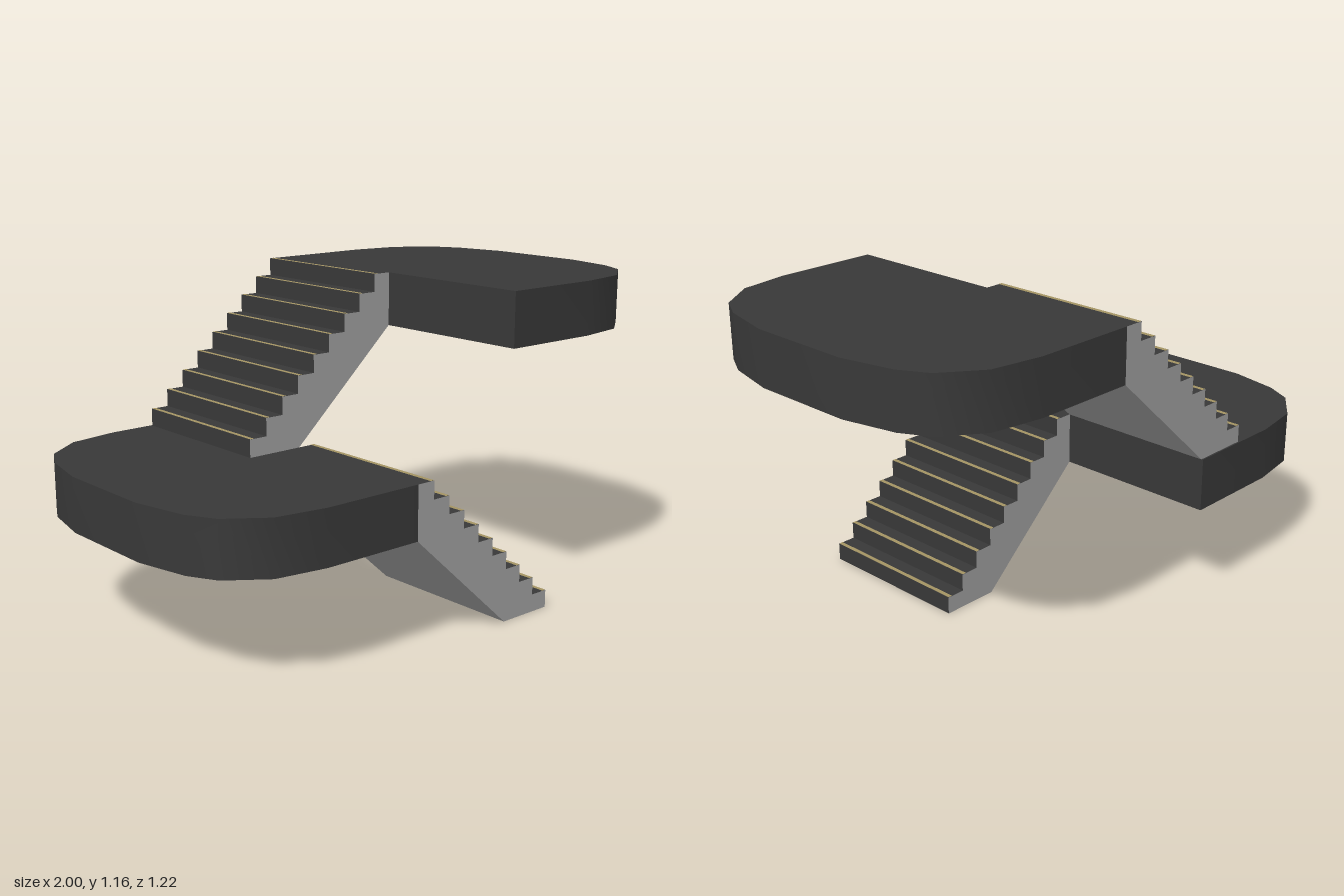
import * as THREE from 'three';
import { toCreasedNormals } from 'three/addons/utils/BufferGeometryUtils.js';

const STEPS = 9, RISE = 0.0643, RUN = 0.0707, WIDTH = 0.606;
const EDGE = -0.212;                      // where flight and landing meet
const FOOT = EDGE + STEPS * RUN;          // front of the first step
const STOREY = STEPS * RISE, SLAB = 0.192;

// Strip of flat faces along a profile, spanning z = 0..WIDTH
function ribbon(points) {
  const pos = [];
  for (let i = 0; i < points.length - 1; i++) {
    const [ax, ay] = points[i], [bx, by] = points[i + 1];
    pos.push(ax, ay, WIDTH, ax, ay, 0, bx, by, 0);
    pos.push(ax, ay, WIDTH, bx, by, 0, bx, by, WIDTH);
  }
  const g = new THREE.BufferGeometry();
  g.setAttribute('position', new THREE.Float32BufferAttribute(pos, 3));
  g.computeVertexNormals();
  return g;
}

export function createModel() {
  const dark = new THREE.MeshStandardMaterial({ color: 0x383838 });
  const grey = new THREE.MeshStandardMaterial({ color: 0xa0a0a0 });
  const gold = new THREE.MeshStandardMaterial({ color: 0xa39362 });
  dark.name = 'dark covering';
  grey.name = 'grey concrete';
  gold.name = 'gold nosing';

  const add = (parent, name, geometry, material) => {
    const mesh = new THREE.Mesh(geometry, material);
    mesh.name = name;
    parent.add(mesh);
    return mesh;
  };

  // One storey half: a flight rising towards -x and the landing it reaches
  function createHalf(name) {
    const half = new THREE.Group();
    half.name = name;

    // Stepped top and plain underside
    const stepped = [[FOOT, 0]];
    for (let i = 0; i < STEPS; i++) {
      const y = (i + 1) * RISE;
      stepped.push([FOOT - i * RUN, y], [FOOT - (i + 1) * RUN, y]);
    }
    const under = [[EDGE, STOREY], [EDGE, STOREY - SLAB], [0.21, 0], [FOOT, 0]];
    add(half, 'treadsAndRisers', ribbon(stepped), dark);
    add(half, 'soffit', ribbon(under), grey);

    // Side faces
    const outline = [...stepped, ...under.slice(1, 3)].map(p => new THREE.Vector2(...p));
    const side = new THREE.ShapeGeometry(new THREE.Shape(outline));
    add(half, 'outerSide', side, grey).position.z = WIDTH;
    const mirrored = new THREE.ShapeGeometry(
      new THREE.Shape(outline.map(p => new THREE.Vector2(-p.x, p.y))));
    add(half, 'innerSide', mirrored, grey).rotation.y = Math.PI;

    // Nosing strips, one flat face near the front edge of each tread
    const strip = new THREE.PlaneGeometry(0.016, WIDTH).rotateX(-Math.PI / 2);
    for (let i = 0; i < STEPS; i++) {
      add(half, 'nosing', strip, gold)
        .position.set(FOOT - i * RUN - 0.009, (i + 1) * RISE + 0.001, WIDTH / 2);
    }

    // Landing with rounded outer corners, drawn in plan
    const curve = [[-0.59, 0.609], [-0.773, 0.579], [-0.905, 0.482], [-0.958, 0.382], [-1, 0.19]];
    const plan = [[EDGE, 0.609], ...curve,
      ...curve.slice().reverse().map(([x, z]) => [x, -z]), [EDGE, -0.609]];
    const slab = new THREE.ExtrudeGeometry(
      new THREE.Shape(plan.map(p => new THREE.Vector2(...p))),
      { depth: SLAB, bevelEnabled: false });
    slab.rotateX(-Math.PI / 2);

    // Grey underside, dark top and rim
    const underside = slab.groups[0].count / 2;
    slab.clearGroups();
    slab.addGroup(0, underside, 0);
    slab.addGroup(underside, slab.attributes.position.count - underside, 1);
    add(half, 'landing', toCreasedNormals(slab, 0.6), [grey, dark])
      .position.set(0, STOREY - SLAB, -0.003);
    return half;
  }

  const model = new THREE.Group();
  model.name = 'staircase';
  const lower = createHalf('lowerFlight');
  const upper = createHalf('upperFlight');
  upper.rotation.y = Math.PI;
  upper.position.y = STOREY;
  model.add(lower, upper);
  return model;
}
